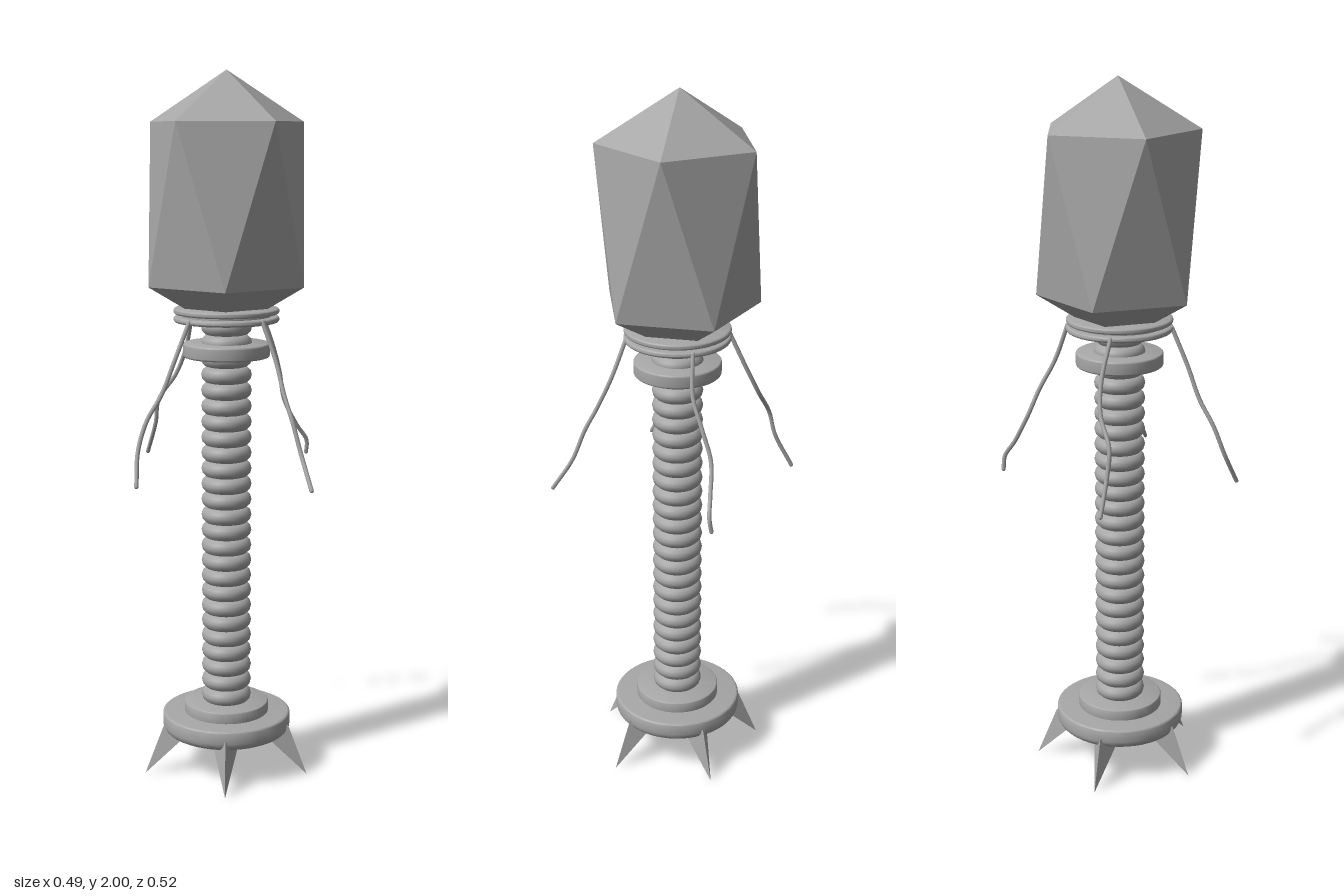
import * as THREE from 'three';
import { toCreasedNormals } from 'three/addons/utils/BufferGeometryUtils.js';

const AXIS_Z = -0.015;

export function createModel() {
  const model = new THREE.Group();
  model.name = 'bacteriophage';
  const grey = new THREE.MeshStandardMaterial({ color: 0xa6a6a6 });
  grey.name = 'grey';

  const body = new THREE.Group();
  body.name = 'body';
  body.position.z = AXIS_Z;
  model.add(body);

  const add = (name, geometry, parent = body) => {
    const mesh = new THREE.Mesh(geometry, grey);
    mesh.name = name;
    parent.add(mesh);
    return mesh;
  };

  // Solid disc with rounded rims
  const disc = (name, radius, y0, y1, bottomRound, topRound) => {
    const pts = [new THREE.Vector2(0, y0)];
    const arc = (r, y, start) => {
      for (let i = 0; i <= 5; i++) {
        const a = start + (i / 5) * Math.PI / 2;
        pts.push(new THREE.Vector2(radius - r + Math.cos(a) * r, y + Math.sin(a) * r));
      }
    };
    arc(bottomRound, y0 + bottomRound, -Math.PI / 2);
    arc(topRound, y1 - topRound, 0);
    pts.push(new THREE.Vector2(0, y1));
    return add(name, toCreasedNormals(new THREE.LatheGeometry(pts, 48), 0.6));
  };

  // Head: stretched icosahedron
  const ring = (y, offset) => Array.from({ length: 5 }, (_, i) => {
    const a = (i * 72 + offset) * Math.PI / 180;
    return [Math.sin(a) * 0.224, y, Math.cos(a) * 0.224];
  });
  const lower = ring(1.415, 0), upper = ring(1.862, 36);
  const top = [0, 2, 0], bottom = [0, 1.28, 0];
  const corners = [];
  for (let i = 0; i < 5; i++) {
    const j = (i + 1) % 5;
    corners.push(
      top, upper[i], upper[j],
      lower[i], lower[j], upper[i],
      upper[i], lower[j], upper[j],
      bottom, lower[j], lower[i]
    );
  }
  const headGeo = new THREE.BufferGeometry();
  headGeo.setAttribute('position', new THREE.Float32BufferAttribute(corners.flat(), 3));
  headGeo.computeVertexNormals();
  add('head', headGeo).position.z = -0.005;

  // Collar
  disc('collarUpperRing', 0.148, 1.337, 1.353, 0.007, 0.007);
  disc('collarNeck', 0.125, 1.325, 1.34, 0.002, 0.002);
  disc('collarLowerRing', 0.148, 1.314, 1.33, 0.007, 0.007);
  disc('collarDisc', 0.122, 1.215, 1.255, 0.006, 0.006);

  // Ribbed tail
  const core = add('tailCore', new THREE.CylinderGeometry(0.052, 0.052, 1.15, 32));
  core.position.y = 0.755;
  const rib = new THREE.TorusGeometry(0.048, 0.0235, 12, 36).rotateX(Math.PI / 2);
  const ribs = new THREE.Group();
  ribs.name = 'tailRibs';
  body.add(ribs);
  const RIBS = 25;
  for (let i = 0; i < RIBS; i++) {
    add('tailRib', rib, ribs).position.y = 0.22 + (i / (RIBS - 1)) * 1.08;
  }

  // Base plate
  disc('basePlate', 0.186, 0.11, 0.17, 0.025, 0.008);
  disc('baseStep', 0.122, 0.165, 0.202, 0.006, 0.006);

  // Five three-sided spikes with the ridge facing outward
  const spike = toCreasedNormals(
    new THREE.ConeGeometry(0.04, 0.15, 3).rotateY(Math.PI)
      .rotateX(Math.atan2(0.6, -0.8)).translate(0, 0.06, 0.202), 0.1);
  for (let i = 0; i < 5; i++) {
    add('spike', spike).rotation.y = i * Math.PI * 2 / 5;
  }

  // Four drooping fibres
  const fibres = [
    ['frontLeftFibre', [[0.1, 1.325, 0.09], [0.137, 1.22, 0.115], [0.16, 1.13, 0.15],
      [0.18, 1.07, 0.176], [0.205, 0.98, 0.205], [0.232, 0.892, 0.255]]],
    ['frontRightFibre', [[-0.1, 1.325, 0.09], [-0.14, 1.22, 0.115], [-0.175, 1.13, 0.13],
      [-0.215, 1.06, 0.148], [-0.238, 0.98, 0.17], [-0.24, 0.892, 0.215]]],
    ['backLeftFibre', [[0.1, 1.325, -0.12], [0.135, 1.22, -0.14], [0.154, 1.14, -0.18],
      [0.167, 1.06, -0.215], [0.205, 0.98, -0.235], [0.236, 0.93, -0.25], [0.235, 0.892, -0.256]]],
    ['backRightFibre', [[-0.1, 1.325, -0.12], [-0.12, 1.22, -0.165], [-0.15, 1.14, -0.19],
      [-0.203, 1.06, -0.2], [-0.213, 0.99, -0.215], [-0.24, 0.892, -0.257]]]
  ];
  for (const [name, points] of fibres) {
    const path = new THREE.CatmullRomCurve3(points.map(p => new THREE.Vector3(...p)));
    const fibre = new THREE.Group();
    fibre.name = name;
    model.add(fibre);
    add('strand', new THREE.TubeGeometry(path, 40, 0.006, 8), fibre);
    for (const t of [0, 1]) {
      add('strandEnd', new THREE.SphereGeometry(0.006, 8, 6), fibre).position.copy(path.getPoint(t));
    }
  }

  return model;
}
